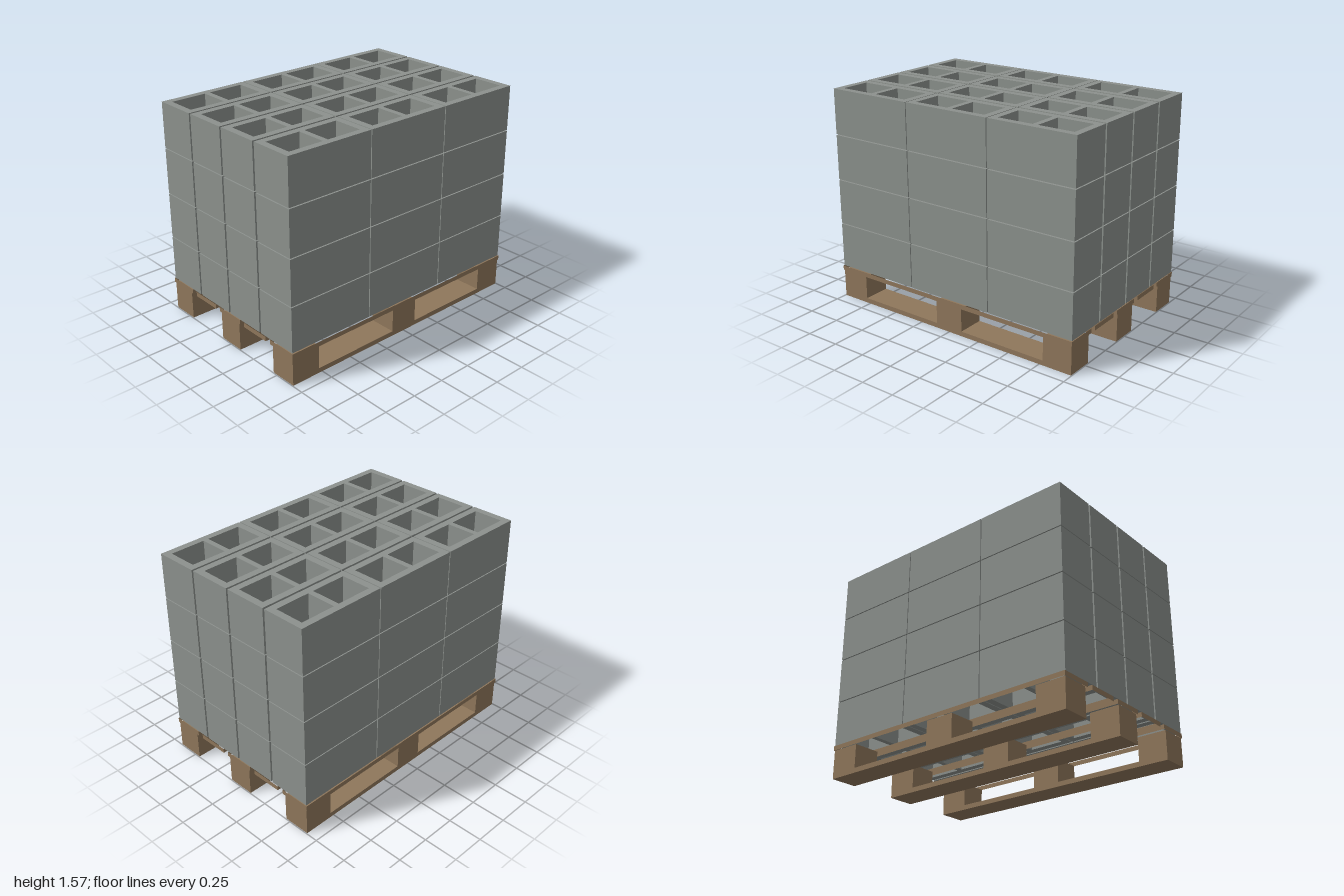
import * as THREE from 'three';

export function createModel() {
  const model = new THREE.Group();
  model.name = 'palletOfBlocks';

  const concrete = new THREE.MeshStandardMaterial({ color: 0x8c918d });
  concrete.name = 'concrete grey';
  const wood = new THREE.MeshStandardMaterial({ color: 0x8f775b });
  wood.name = 'pallet wood';
  wood.side = THREE.DoubleSide;

  const add = (parent, name, geometry, material, x, y, z) => {
    const mesh = new THREE.Mesh(geometry, material);
    mesh.name = name;
    mesh.position.set(x, y, z);
    parent.add(mesh);
  };

  const rectangle = (path, x0, y0, x1, y1) =>
    path.moveTo(x0, y0).lineTo(x1, y0).lineTo(x1, y1).lineTo(x0, y1).closePath();

  // Pallet: three bottom runners, each carrying three spacer blocks
  const pallet = new THREE.Group();
  pallet.name = 'pallet';
  model.add(pallet);
  const runner = new THREE.BoxGeometry(1.99, 0.035, 0.2);
  const spacer = new THREE.BoxGeometry(0.217, 0.172, 0.2);
  for (const z of [-0.56, 0, 0.56]) {
    add(pallet, 'bottomRunner', runner, wood, 0, 0.0175, z);
    for (const x of [-0.887, 0, 0.887]) add(pallet, 'spacerBlock', spacer, wood, x, 0.121, z);
  }

  // Deck boards: open frames, with upright sides only
  const board = new THREE.BoxGeometry(2, 0.033, 0.23);
  const sides = Array.from(board.index.array);
  board.setIndex([...sides.slice(0, 12), ...sides.slice(24)]);
  board.clearGroups();
  for (let i = -2; i <= 2; i++) add(pallet, 'deckBoard', board, wood, 0, 0.2235, i * 0.276);

  // Hollow block: rectangle with two cells, extruded upward
  const outline = new THREE.Shape();
  rectangle(outline, -0.33, -0.159, 0.33, 0.159);
  for (const x of [-0.28, 0.02]) {
    const cell = new THREE.Path();
    rectangle(cell, x, -0.109, x + 0.26, 0.109);
    outline.holes.push(cell);
  }
  const block = new THREE.ExtrudeGeometry(outline, { depth: 0.326, bevelEnabled: false });
  block.rotateX(-Math.PI / 2);

  // Stack: four layers of three by four blocks
  for (let layer = 0; layer < 4; layer++) {
    const group = new THREE.Group();
    group.name = 'blockLayer';
    model.add(group);
    for (let row = 0; row < 4; row++) {
      for (let column = -1; column <= 1; column++) {
        add(group, 'hollowBlock', block, concrete,
          column * 0.667, 0.243 + layer * 0.3335, (row - 1.5) * 0.334);
      }
    }
  }
  return model;
}
